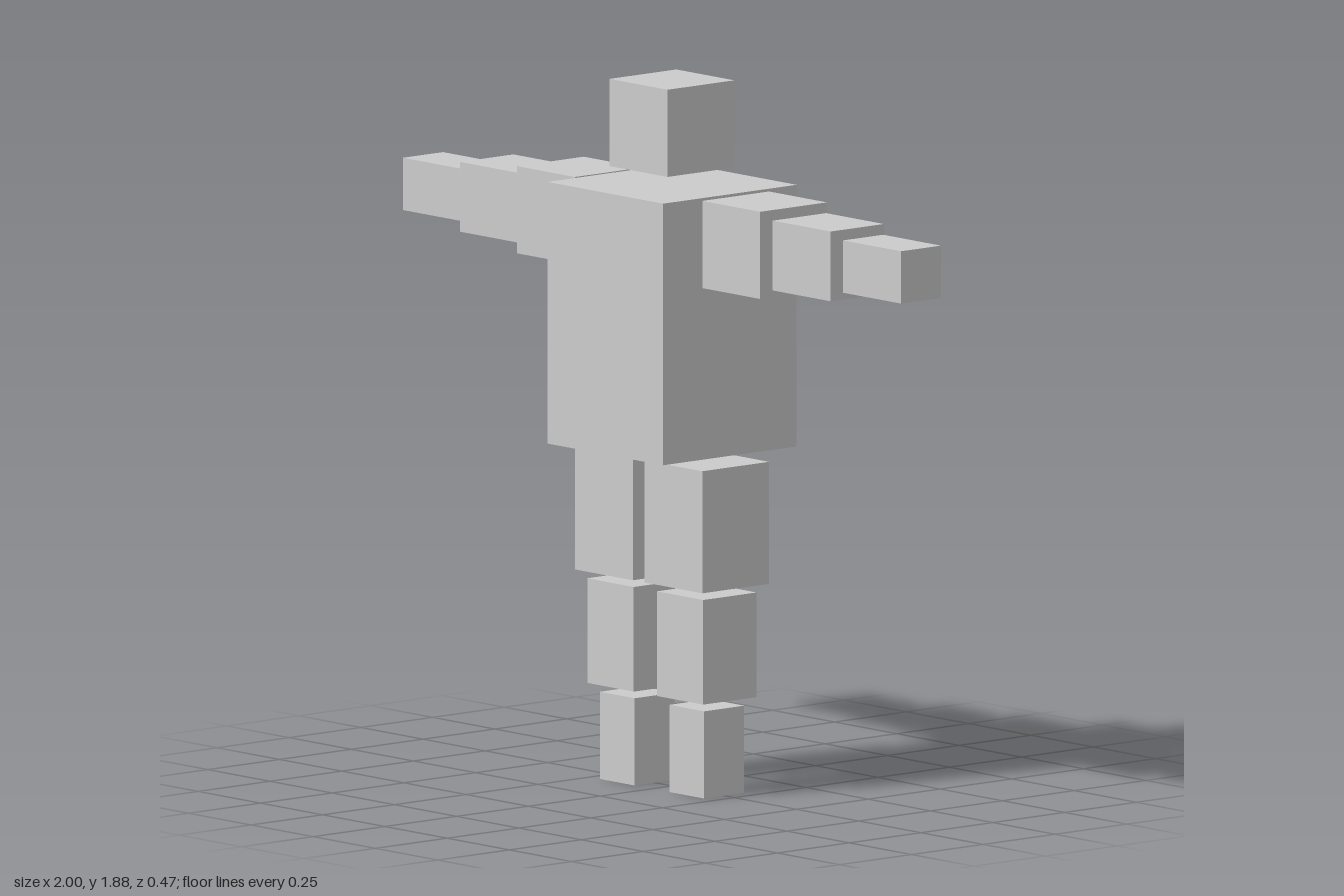
import * as THREE from 'three';

// The figure is laid out on a grid of 86 cells across its arm span
const U = 2 / 86;

export function createModel() {
  const model = new THREE.Group();
  const material = new THREE.MeshStandardMaterial({ color: 0xcccccc, flatShading: true });

  // Box from its size and centre, in grid cells
  const block = (name, [w, h, d], x, y) => {
    const mesh = new THREE.Mesh(new THREE.BoxGeometry(w * U, h * U, d * U), material);
    mesh.name = name;
    mesh.position.set(x * U, y * U, 0);
    return mesh;
  };

  model.add(block('torso', [20, 30, 20], 0, 54.1), block('head', [10, 10, 10], 0, 76));

  for (const [side, s] of [['left', 1], ['right', -1]]) {
    // Arm: segments of equal length, thinner toward the hand
    const arm = new THREE.Group();
    arm.name = side + 'Arm';
    [['UpperArm', 10], ['Forearm', 8], ['Hand', 6]].forEach(([part, t], i) => {
      arm.add(block(side + part, [10, t, t], s * (16 + 11 * i), 64));
    });

    // Leg: segments stacked from the ground up with one-cell gaps
    const leg = new THREE.Group();
    leg.name = side + 'Leg';
    let base = 0;
    for (const [part, t, h] of [['Foot', 6, 10], ['Shin', 8, 12], ['Thigh', 10, 14]]) {
      leg.add(block(side + part, [t, h, t], s * 6, base + h / 2));
      base += h + 1;
    }
    model.add(arm, leg);
  }
  return model;
}
